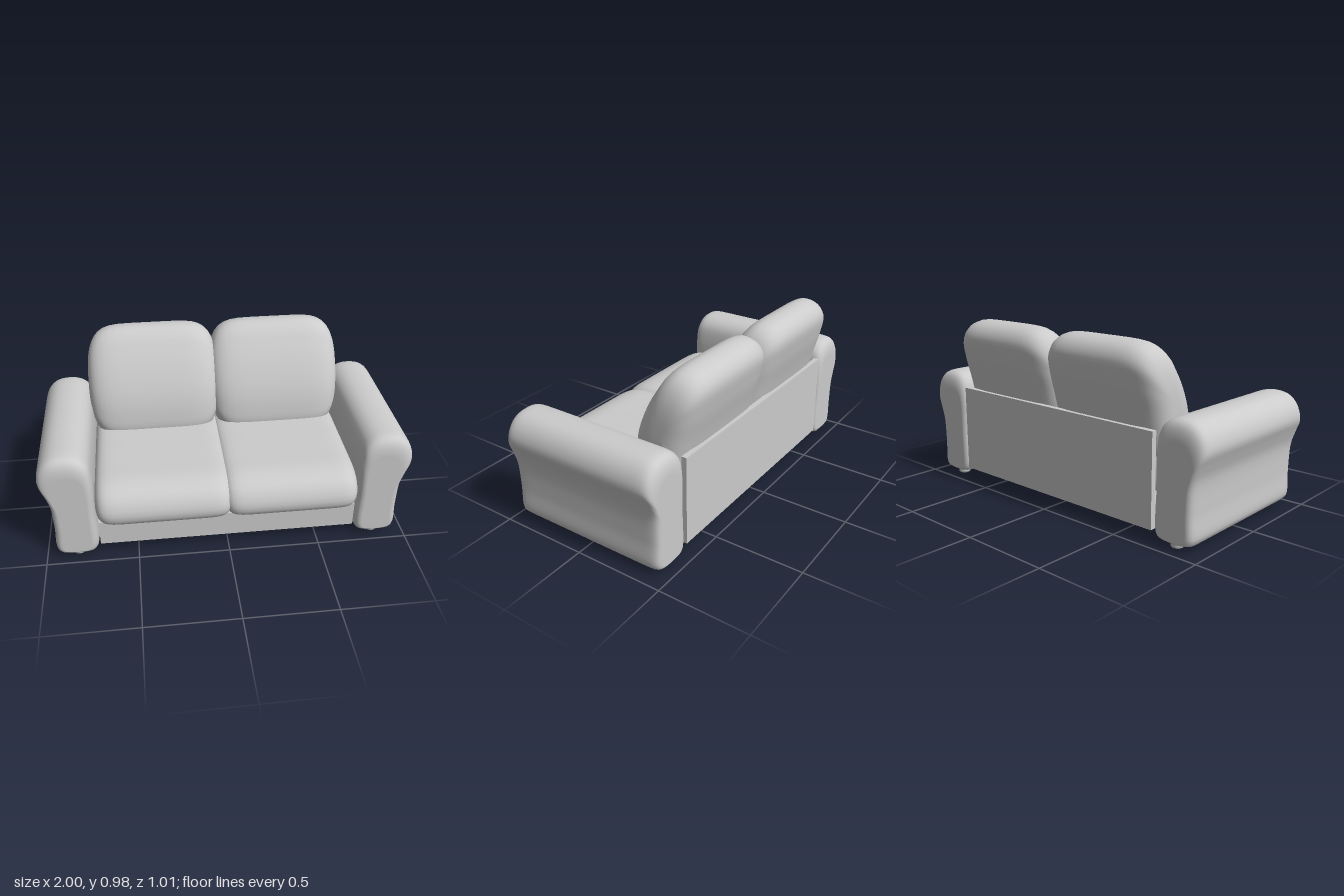
import * as THREE from 'three';

const material = new THREE.MeshStandardMaterial({ color: 0xcccccc });

// Padded form: a closed profile swept along z, shrinking towards both ends
// like a superellipse. shrink = [x, y] share of the profile lost at the ends.
function padded(points, { pivot, half, power, root, shrink }) {
  const curve = new THREE.CatmullRomCurve3(
    points.map(([x, y]) => new THREE.Vector3(x, y, 0)), true, 'centripetal');
  const ring = curve.getSpacedPoints(72).slice(0, -1);
  if (THREE.ShapeUtils.area(ring) < 0) ring.reverse();

  const steps = 14, n = ring.length, pos = [], index = [];
  for (let i = -steps; i <= steps; i++) {
    const u = Math.abs(i) / steps;
    const t = 1 - (1 - u) ** 3; // rings crowd towards the ends
    const lost = 1 - (1 - t ** power) ** root;
    const sx = 1 - lost * shrink[0], sy = 1 - lost * shrink[1];
    for (const p of ring) {
      pos.push(pivot[0] + (p.x - pivot[0]) * sx,
        pivot[1] + (p.y - pivot[1]) * sy, Math.sign(i) * t * half);
    }
  }
  const rows = steps * 2 + 1, first = rows * n, last = first + 1;
  pos.push(pivot[0], pivot[1], -half, pivot[0], pivot[1], half);
  for (let j = 0; j < n; j++) {
    const k = (j + 1) % n, end = (rows - 1) * n;
    for (let i = 0; i < rows - 1; i++) {
      const a = i * n + j, b = i * n + k;
      index.push(a, b, b + n, a, b + n, a + n);
    }
    index.push(first, k, j, last, end + j, end + k);
  }
  const geometry = new THREE.BufferGeometry();
  geometry.setAttribute('position', new THREE.Float32BufferAttribute(pos, 3));
  geometry.setIndex(index);
  geometry.computeVertexNormals();
  return geometry;
}

export function createModel() {
  const group = new THREE.Group();
  const add = (name, geometry, x = 0, y = 0, z = 0) => {
    const mesh = new THREE.Mesh(geometry, material);
    mesh.name = name;
    mesh.position.set(x, y, z);
    group.add(mesh);
  };

  // Arm profile in (x, y): straight inside, rolled outwards at the top
  const arm = [
    [0.715, 0.06], [0.715, 0.3], [0.715, 0.5], [0.735, 0.59], [0.78, 0.632],
    [0.85, 0.646], [0.93, 0.63], [0.98, 0.58], [1.0, 0.505], [0.978, 0.44],
    [0.952, 0.36], [0.943, 0.2], [0.943, 0.06], [0.925, 0.037], [0.735, 0.037],
  ];
  // Cushion profiles in (z, y)
  const seat = [
    [0.2, 0.437], [0.38, 0.428], [0.46, 0.39], [0.496, 0.335], [0.507, 0.285],
    [0.493, 0.238], [0.45, 0.216], [0.2, 0.215], [-0.32, 0.215], [-0.38, 0.24],
    [-0.4, 0.32], [-0.38, 0.41], [-0.32, 0.435], [0, 0.44],
  ];
  const back = [
    [-0.11, 0.42], [-0.113, 0.53], [-0.142, 0.65], [-0.2, 0.782], [-0.26, 0.88],
    [-0.31, 0.943], [-0.375, 0.976], [-0.465, 0.953], [-0.505, 0.89],
    [-0.49, 0.77], [-0.45, 0.62], [-0.42, 0.5], [-0.39, 0.39], [-0.3, 0.34],
    [-0.16, 0.35],
  ];

  for (const side of [1, -1]) {
    const label = side > 0 ? 'left' : 'right';

    add(label + 'Arm', padded(arm.map(([x, y]) => [x * side, y]), {
      pivot: [0.83 * side, 0.12], half: 0.4625, power: 24, root: 0.5, shrink: [0.35, 0.2],
    }), 0, 0, 0.003);

    // Cushions overlap slightly at the middle seam
    add(label + 'SeatCushion', padded(seat, {
      pivot: [0.05, 0.32], half: 0.372, power: 12, root: 0.4, shrink: [0.3, 0.9],
    }).rotateY(-Math.PI / 2), 0.346 * side);

    add(label + 'BackCushion', padded(back, {
      pivot: [-0.31, 0.67], half: 0.38, power: 6, root: 0.4, shrink: [0.9, 0.95],
    }).rotateY(-Math.PI / 2), 0.354 * side);

    // Small rounded feet under each arm
    for (const [end, z] of [['Front', 0.405], ['Back', -0.4]]) {
      const profile = [[0, 0], [0.024, 0], [0.033, 0.006], [0.035, 0.015],
        [0.034, 0.027], [0.044, 0.038], [0, 0.045]].map((p) => new THREE.Vector2(...p));
      add(label + end + 'Foot', new THREE.LatheGeometry(profile, 24), 0.825 * side, 0, z);
    }
  }

  // Base under the seat and upright panel behind it
  add('base', new THREE.BoxGeometry(1.41, 0.147, 0.88), 0, 0.1415, 0);
  add('backPanel', new THREE.BoxGeometry(1.41, 0.495, 0.03), 0, 0.3155, -0.442);

  return group;
}
